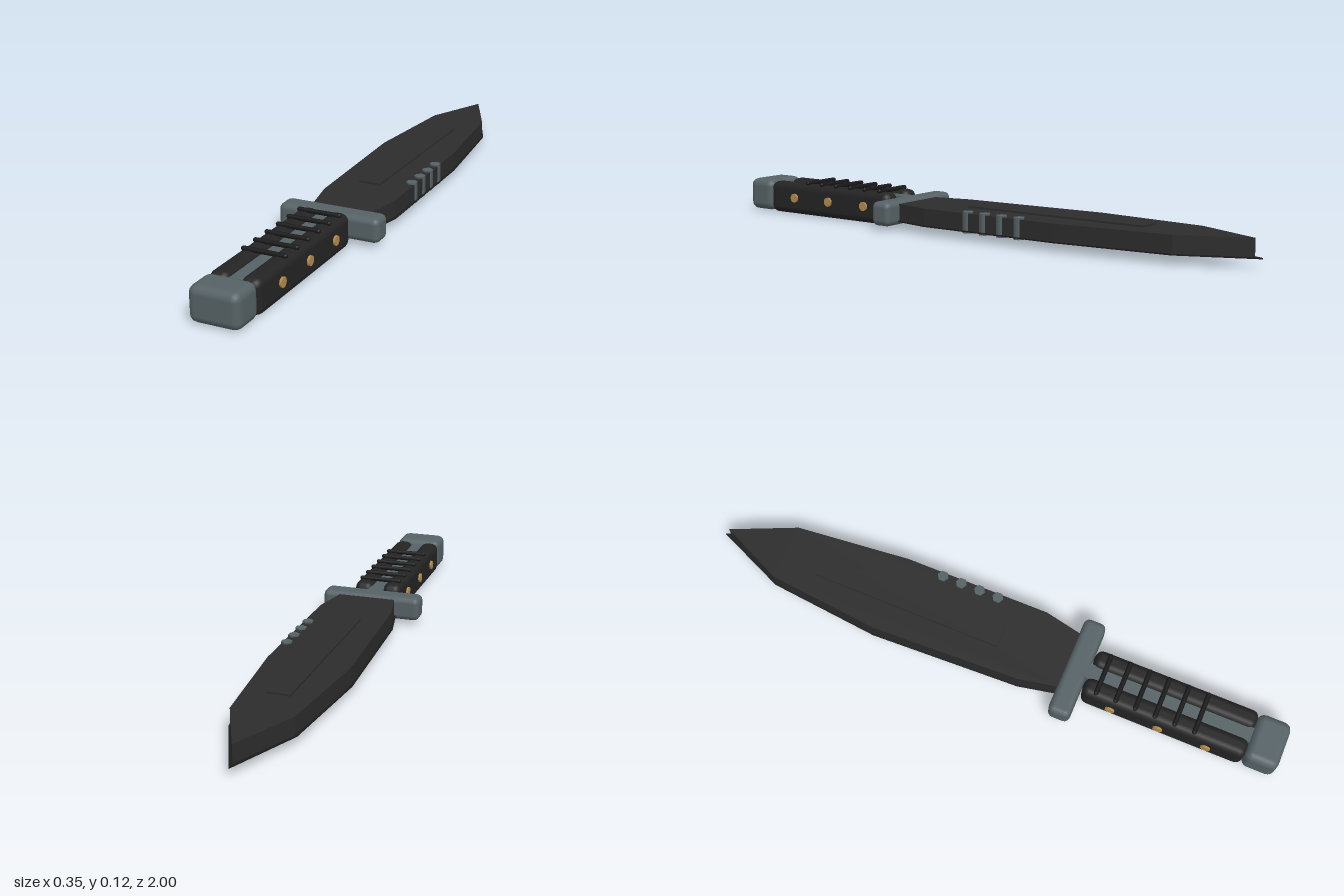
import * as THREE from 'three';
import { RoundedBoxGeometry } from 'three/addons/geometries/RoundedBoxGeometry.js';

const mat = (name, color) => {
  const m = new THREE.MeshStandardMaterial({ color });
  m.name = name;
  return m;
};

export function createModel() {
  const model = new THREE.Group();
  model.name = 'knife';
  const bladeBlack = mat('blade black', 0x2c2c2c);
  const edgeBlack = mat('edge black', 0x1c1c1c);
  const steel = mat('gunmetal', 0x566266);
  const gripBlack = mat('grip black', 0x242424);
  const wrapBlack = mat('wrap black', 0x181818);
  const brass = mat('brass', 0xb48c50);

  const add = (name, geo, material, x = 0, y = 0, z = 0) => {
    const mesh = new THREE.Mesh(geo, material);
    mesh.name = name;
    mesh.position.set(x, y, z);
    model.add(mesh);
    return mesh;
  };
  // Rounded block given by its extents on each axis
  const block = (name, material, [x0, x1], [y0, y1], [z0, z1], r) =>
    add(name, new RoundedBoxGeometry(x1 - x0, y1 - y0, z1 - z0, 2, r), material,
      (x0 + x1) / 2, (y0 + y1) / 2, (z0 + z1) / 2);

  // Flat slab from an [x, z] outline, lying between two heights
  const slab = (name, material, outline, y0, y1) => {
    const shape = new THREE.Shape(outline.map(([x, z]) => new THREE.Vector2(x, -z)));
    const geo = new THREE.ExtrudeGeometry(shape, { depth: y1 - y0, bevelEnabled: false });
    geo.rotateX(-Math.PI / 2);
    return add(name, geo, material, 0, y0, 0);
  };

  // Blade body, with a slightly wider cutting edge beneath it
  const outline = [[-0.09, 0.27], [0.115, 0.27], [0.144, 0.13], [0.142, -0.37],
    [0.103, -0.76], [0, -1], [-0.103, -0.76], [-0.14, -0.38], [-0.119, 0.13]];
  const body = outline.map(([x, z]) => [x - Math.sign(x) * 0.006, z < -0.9 ? -0.975 : z]);
  slab('blade', bladeBlack, body, 0.034, 0.09);
  slab('cuttingEdge', edgeBlack, outline, 0.03, 0.034);

  // Raised panel along the blade
  add('fuller', new THREE.BoxGeometry(0.076, 0.008, 0.66), bladeBlack, 0, 0.092, -0.305);

  // Serration pins on one edge
  for (let i = 0; i < 4; i++) {
    add('serration', new THREE.CylinderGeometry(0.019, 0.019, 0.07, 6).toNonIndexed(),
      steel, 0.123, 0.06, -0.04 - i * 0.066);
  }

  // Guard, tang and pommel
  block('guard', steel, [-0.173, 0.173], [0.018, 0.1], [0.255, 0.33], 0.02);
  add('tang', new THREE.BoxGeometry(0.05, 0.08, 0.6), steel, 0, 0.06, 0.6);
  block('pommel', steel, [-0.082, 0.082], [0.004, 0.117], [0.888, 1], 0.026);

  // Grip scales and rivets on both sides
  for (const s of [-1, 1]) {
    const side = s > 0 ? [0.018, 0.083] : [-0.083, -0.018];
    block('gripScale', gripBlack, side, [0.002, 0.114], [0.333, 0.892], 0.025);
    for (const z of [0.44, 0.605, 0.768]) {
      const rivet = add('rivet', new THREE.CylinderGeometry(0.016, 0.016, 0.02, 12),
        brass, s * 0.08, 0.062, z);
      rivet.rotation.z = Math.PI / 2;
    }
  }

  // Cross bars over the grip
  for (let i = 0; i < 6; i++) {
    const bar = add('gripBar', new THREE.CapsuleGeometry(0.008, 0.134, 3, 8),
      wrapBlack, 0, 0.117, 0.382 + i * 0.067);
    bar.rotation.z = Math.PI / 2;
  }

  return model;
}
